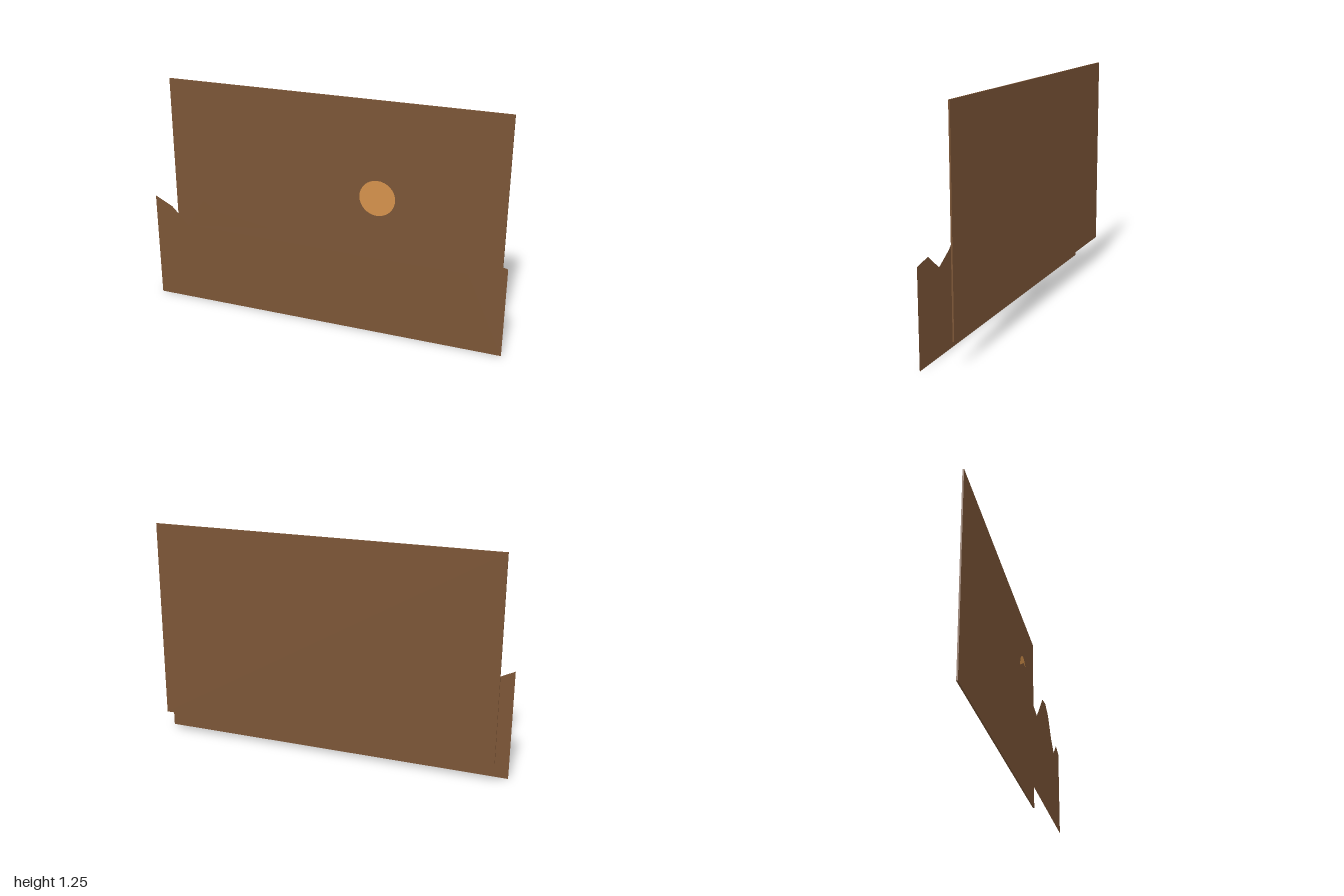
import * as THREE from 'three';

export function createModel() {
  const group = new THREE.Group();
  const wood = new THREE.MeshStandardMaterial({ color: 0x7b5536, side: THREE.DoubleSide });
  const amber = new THREE.MeshStandardMaterial({ color: 0xd4914b, side: THREE.DoubleSide });

  const add = (name, geometry, material, x, y, z) => {
    const mesh = new THREE.Mesh(geometry, material);
    mesh.name = name;
    mesh.position.set(x, y, z);
    group.add(mesh);
  };

  // Thin rectangular board at the back
  add('backBoard', new THREE.BoxGeometry(1.9, 1.1, 0.008), wood, 0, 0.7, -0.073);

  // Sun disc floating between the layers
  add('sunDisc', new THREE.CircleGeometry(0.098, 32), amber, 0.28, 0.74, -0.012);

  // Flat front sheet with a jagged ridge line, heights every 0.1 from left to right
  const ridge = [
    0.605, 0.555, 0.455, 0.62, 0.56, 0.59, 0.55, 0.515, 0.57, 0.57, 0.64,
    0.455, 0.44, 0.53, 0.62, 0.635, 0.6, 0.5, 0.44, 0.52, 0.5,
  ];
  const outline = new THREE.Shape();
  outline.moveTo(1, 0);
  for (let i = ridge.length - 1; i >= 0; i--) outline.lineTo(-1 + i * 0.1, ridge[i]);
  outline.lineTo(-1, 0);
  outline.closePath();
  add('mountainRidge', new THREE.ShapeGeometry(outline), wood, 0, 0, 0.077);

  return group;
}
